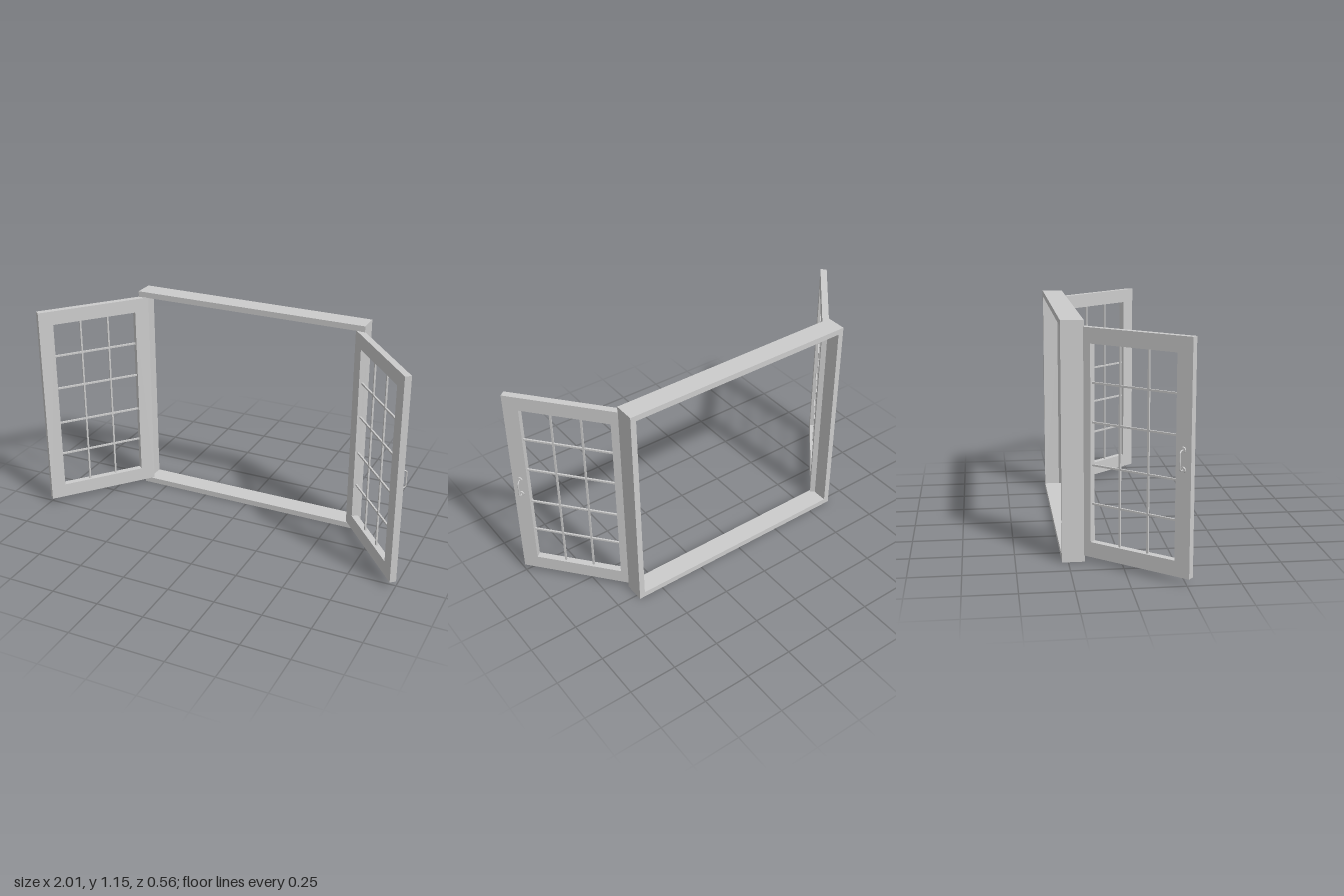
import * as THREE from 'three';

const paint = new THREE.MeshStandardMaterial({ color: 0xcccccc });
paint.name = 'pale grey paint';

function add(parent, name, geometry, x = 0, y = 0, z = 0) {
  const mesh = new THREE.Mesh(geometry, paint);
  mesh.name = name;
  mesh.position.set(x, y, z);
  parent.add(mesh);
  return mesh;
}

// Rectangular border centred on the origin, with its opening cut through
function border(width, height, rimX, rimY, depth) {
  const rect = (Type, w, h) => new Type([
    new THREE.Vector2(-w / 2, -h / 2), new THREE.Vector2(w / 2, -h / 2),
    new THREE.Vector2(w / 2, h / 2), new THREE.Vector2(-w / 2, h / 2),
  ]);
  const shape = rect(THREE.Shape, width, height);
  shape.holes.push(rect(THREE.Path, width - 2 * rimX, height - 2 * rimY));
  const geometry = new THREE.ExtrudeGeometry(shape, { depth, bevelEnabled: false });
  return geometry.translate(0, 0, -depth / 2);
}

// Pull handle: two rounded feet and a bent bar, projecting towards -z
function createHandle() {
  const handle = new THREE.Group();
  handle.name = 'handle';
  for (const y of [-0.045, 0.045]) {
    const foot = new THREE.CylinderGeometry(0.012, 0.013, 0.006, 16);
    foot.rotateX(-Math.PI / 2).scale(1, 1.15, 1);
    add(handle, 'handleFoot', foot, 0, y, -0.003);
  }
  const path = new THREE.CurvePath();
  const points = [[-0.045, 0], [-0.045, -0.022], [-0.037, -0.03],
    [0.037, -0.03], [0.045, -0.022], [0.045, 0]].map(([y, z]) => new THREE.Vector3(0, y, z));
  for (let i = 1; i < points.length; i++) path.add(new THREE.LineCurve3(points[i - 1], points[i]));
  add(handle, 'handleBar', new THREE.TubeGeometry(path, 40, 0.0035, 8));
  return handle;
}

// Casement: hinge edge at local x = 0, inner face at z = 0, outer face at z = -thick
function createCasement(side) {
  const width = 0.606, bottom = 0.031, top = 1.122, thick = 0.034;
  const stile = 0.077, rail = 0.074, bar = 0.009;
  const midX = side * width / 2, midY = (bottom + top) / 2, midZ = -thick / 2;
  const casement = new THREE.Group();
  casement.name = side > 0 ? 'leftCasement' : 'rightCasement';

  add(casement, 'sash', border(width, top - bottom, stile, rail, thick), midX, midY, midZ);

  // Glazing bars: two upright, four across
  const openW = width - 2 * stile, openH = top - bottom - 2 * rail;
  for (const k of [-1, 1]) {
    add(casement, 'uprightGlazingBar', new THREE.BoxGeometry(bar, openH, bar),
      midX + k * openW / 6, midY, midZ);
  }
  for (const y of [0.29, 0.477, 0.68, 0.866]) {
    add(casement, 'crossGlazingBar', new THREE.BoxGeometry(openW, bar, bar), midX, y, midZ);
  }

  const handle = createHandle();
  handle.position.set(side * (width - 0.039), 0.577, -thick);
  casement.add(handle);

  casement.position.set(side * 0.585, 0, -0.183);
  casement.rotation.y = -side * 0.871;
  return casement;
}

export function createModel() {
  const model = new THREE.Group();
  model.name = 'openCasementWindow';
  // Fixed outer frame
  add(model, 'windowFrame', border(1.272, 1.153, 0.03, 0.03, 0.108), 0, 0.5765, -0.226);
  // Two casements swung open towards the front
  for (const side of [-1, 1]) model.add(createCasement(side));
  return model;
}
